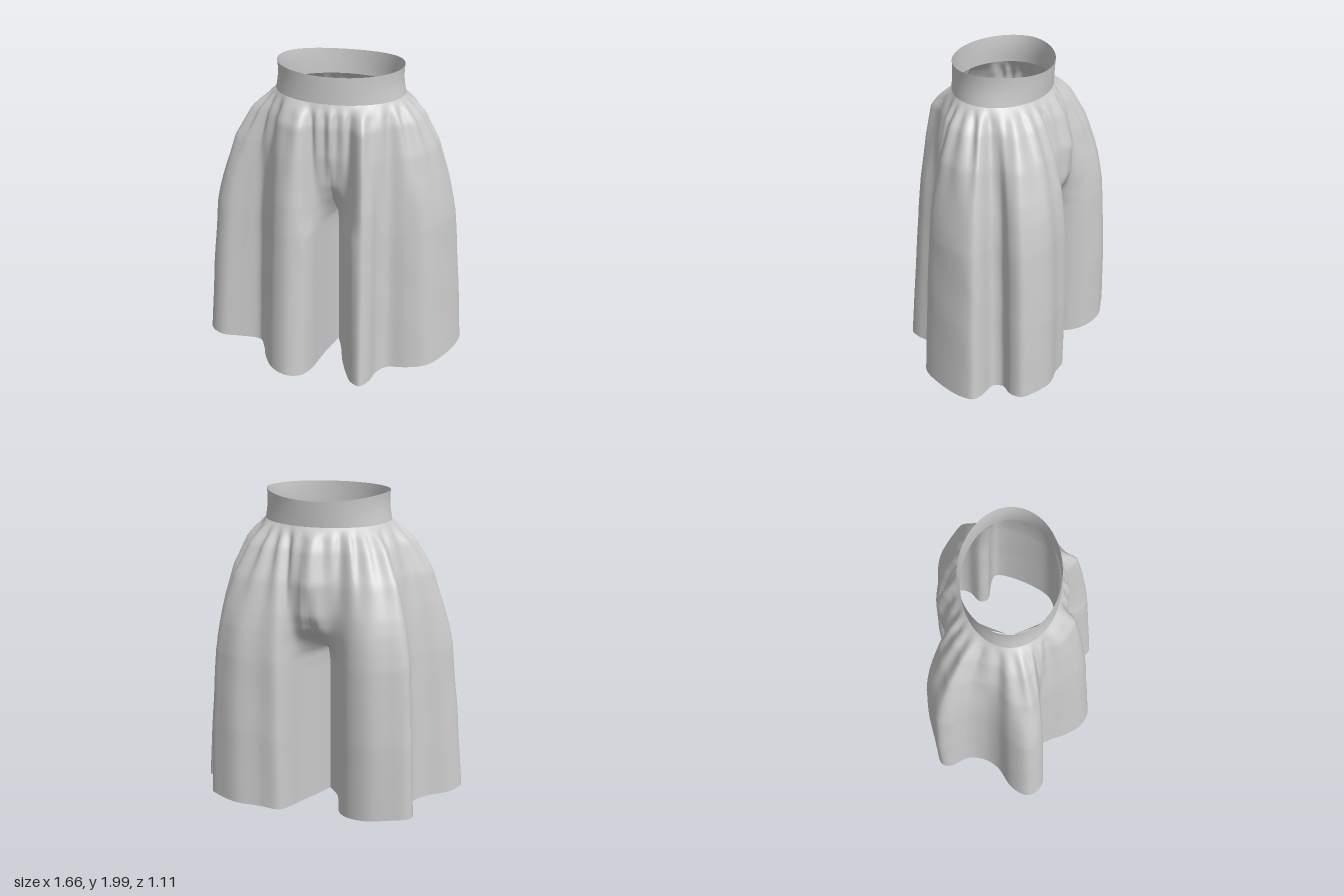
import * as THREE from 'three';
import { mergeVertices } from 'three/addons/utils/BufferGeometryUtils.js';

// Hem outlines, front centre to back centre: [x, z, angle at the waist in degrees]
const LEFT_HEM = [
  [.02, 0, 0], [.06, .12, 5], [.1, .28, 11], [.15, .42, 17], [.2, .52, 23], [.26, .56, 28],
  [.31, .5, 35], [.34, .39, 42], [.4, .32, 50], [.53, .31, 58], [.65, .27, 66], [.75, .13, 75],
  [.82, -.05, 84], [.82, -.13, 91], [.76, -.16, 97], [.64, -.18, 104], [.62, -.24, 110],
  [.69, -.32, 117], [.7, -.4, 123], [.62, -.46, 129], [.5, -.51, 136], [.35, -.5, 144],
  [.22, -.5, 153], [.17, -.42, 161], [.13, -.3, 168], [.06, -.12, 175], [.02, 0, 180],
];
const RIGHT_HEM = [
  [.02, 0, 0], [-.02, .14, 5], [-.05, .28, 11], [-.08, .42, 18], [-.13, .51, 25], [-.22, .54, 31],
  [-.32, .49, 37], [-.39, .38, 43], [-.43, .27, 50], [-.48, .19, 58], [-.6, .2, 66], [-.73, .22, 74],
  [-.81, .17, 82], [-.83, .1, 88], [-.77, 0, 95], [-.64, -.09, 103], [-.58, -.18, 110],
  [-.57, -.3, 116], [-.63, -.42, 122], [-.62, -.49, 128], [-.5, -.53, 136], [-.37, -.555, 144],
  [-.24, -.51, 153], [-.16, -.42, 161], [-.12, -.3, 168], [-.06, -.12, 175], [.02, 0, 180],
];

// How far the cloth has spread from waist (0) to hem (1) at each height;
// the bulge rows are the outward puff of the centre panels
const HEIGHTS = [1.83, 1.78, 1.7, 1.5, 1.3, 1.2, 1.1, 1.0, .9, .5, 0];
const SPREAD = {
  front: [0, .22, .42, .53, .62, .67, .7, .73, .75, .86, 1],
  side: [0, .11, .28, .53, .67, .73, .78, .82, .84, .92, 1],
  back: [0, .15, .33, .62, .83, .9, .94, .97, .98, 1.01, .95],
  frontSeam: [0, 0, 0, .02, .1, .25, .52, .92, 1, 1, 1],
  backSeam: [0, 0, 0, 0, .05, .15, .42, .88, 1, 1, 1],
  frontBulge: [0, .025, .045, .05, .035, .02, 0, 0, 0, 0, 0],
  backBulge: [0, .045, .09, .15, .15, .12, .05, 0, 0, 0, 0],
};
function spread(name, y) {
  const table = SPREAD[name];
  let i = 0;
  while (i < HEIGHTS.length - 2 && y < HEIGHTS[i + 1]) i++;
  const t = THREE.MathUtils.clamp((HEIGHTS[i] - y) / (HEIGHTS[i] - HEIGHTS[i + 1]), 0, 1);
  return THREE.MathUtils.lerp(table[i], table[i + 1], t);
}

const waistX = (a) => .03 + .395 * Math.sin(a);
const waistZ = (a) => -.005 + .29 * Math.cos(a);
const waistY = (a) => 1.82 + .012 * Math.cos(a);

const ROWS = 64, COLS = 180;

// One half of the garment: wraps the hips above the crotch, closes into a leg below
function addHalf(hem, side, positions, indices) {
  const { lerp, smoothstep } = THREE.MathUtils;
  const curve = new THREE.CatmullRomCurve3(hem.map(([x, z, d]) => new THREE.Vector3(x, z, d / 100)));
  const outline = curve.getPoints(COLS);
  const base = positions.length / 3;
  for (let r = 0; r <= ROWS; r++) {
    const v = Math.pow(r / ROWS, 1.25);
    for (const p of outline) {
      const deg = THREE.MathUtils.clamp(p.z * 100, 0, 180);
      const a = deg * Math.PI / 180, s = Math.sin(a) * side, c = Math.cos(a);
      const hemY = .005 + (side > 0 ? .068 : .095) * Math.abs(p.x) + .05 * Math.abs(p.y);
      const y = lerp(waistY(a), hemY, v);
      const ly = lerp(1.83, 0, v);
      const face = c > 0 ? 'front' : 'back';
      // spread rule by direction, then pulled to the crotch seam near the centre
      const w = lerp(spread('side', ly), spread(face, ly), c * c);
      const near = 1 - smoothstep(Math.min(deg, 180 - deg), 6, 29);
      const k = lerp(w, spread(face + 'Seam', ly), near);
      let x = lerp(waistX(a * side), p.x, k);
      let z = lerp(waistZ(a), p.y, k) + Math.sign(c) * near * spread(face + 'Bulge', ly);
      // gathers fading out below the waistband
      const fade = smoothstep(v, 0, .05) * (1 - smoothstep(v, .06, .36));
      const pleat = Math.cos(a * 26 + 1.2 * Math.sin(a * 5)) + .6 * Math.sin(a * 15 + side) * Math.sin(a);
      // soft wrinkles lower down
      const soft = Math.sin(a * 11 + ly * 5 + side) * Math.sin(ly * 7) * Math.sin(a) * v * (1 - v);
      const d = .011 * fade * pleat + .012 * soft;
      x += s * d;
      z += c * d;
      positions.push(x, y, z);
    }
  }
  const n = COLS + 1;
  for (let r = 0; r < ROWS; r++) {
    for (let i = 0; i < COLS; i++) {
      const A = base + r * n + i, B = A + n, C = B + 1, D = A + 1;
      if (side > 0) indices.push(A, B, D, B, C, D);
      else indices.push(A, D, B, B, D, C);
    }
  }
}

// Slim band, lower at the back and slightly pinched in the middle
function makeWaistband() {
  const geo = new THREE.CylinderGeometry(1, 1, 1, 128, 8, true);
  const pos = geo.attributes.position;
  for (let i = 0; i < pos.count; i++) {
    const a = Math.atan2(pos.getX(i), pos.getZ(i));
    const t = pos.getY(i) + .5, c = Math.cos(a);
    const pinch = 1 - .035 * Math.sin(t * Math.PI * .75);
    const top = c > 0 ? 2 : 2 - .036 * c * c;
    pos.setXYZ(i,
      .03 + (waistX(a) - .03) * pinch,
      THREE.MathUtils.lerp(waistY(a), top, t),
      waistZ(a) * (1 - .01 * t) - (c < 0 ? .015 * t * c * c : 0));
  }
  geo.computeVertexNormals();
  return geo;
}

export function createModel() {
  const group = new THREE.Group();
  const cloth = new THREE.MeshStandardMaterial({ color: 0xcccccc, side: THREE.DoubleSide });

  const positions = [], indices = [];
  addHalf(LEFT_HEM, 1, positions, indices);
  addHalf(RIGHT_HEM, -1, positions, indices);
  let geo = new THREE.BufferGeometry();
  geo.setAttribute('position', new THREE.Float32BufferAttribute(positions, 3));
  geo.setIndex(indices);
  geo = mergeVertices(geo, 1e-4);
  geo.computeVertexNormals();

  const legs = new THREE.Mesh(geo, cloth);
  legs.name = 'gatheredLegs';
  const band = new THREE.Mesh(makeWaistband(), cloth);
  band.name = 'waistband';
  group.add(legs, band);
  return group;
}
